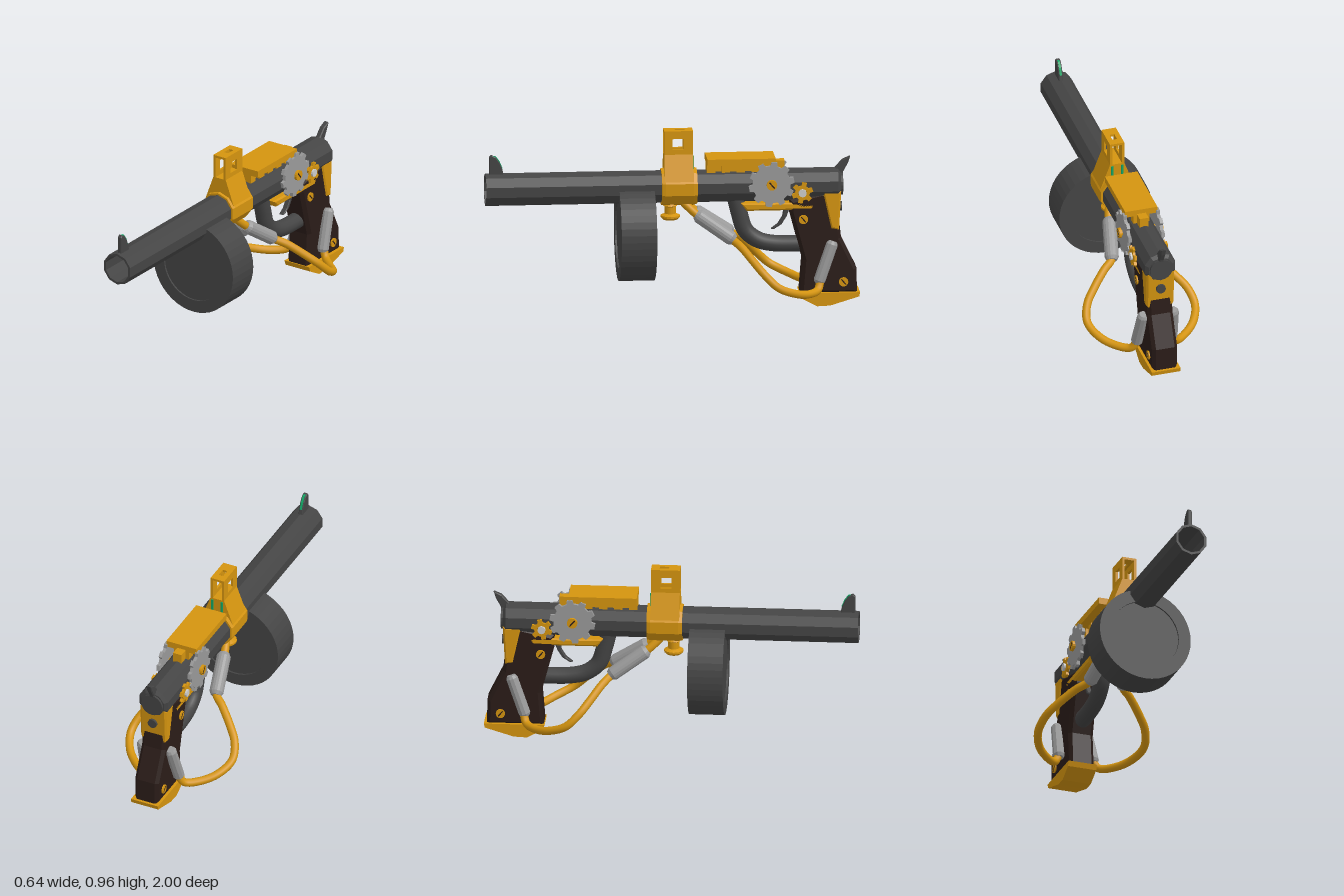
import * as THREE from 'three';

const mat = (color, flat = true) =>
  new THREE.MeshStandardMaterial({ color, flatShading: flat, side: THREE.DoubleSide });
const ORANGE = mat(0xd4940f), DARK = mat(0x444444), BROWN = mat(0x2a1c18), STEEL = mat(0x999999),
  PALE = mat(0xe6e6e6), GREEN = mat(0x12a565), CABLE = mat(0xd4940f, false), GUARD = mat(0x444444, false);

export function createModel() {
  const root = new THREE.Group();
  const add = (name, geo, m, x = 0, y = 0, z = 0) => {
    const mesh = new THREE.Mesh(geo, m);
    mesh.name = name;
    mesh.position.set(x, y, z);
    root.add(mesh);
    return mesh;
  };
  const box = (name, m, w, h, d, x, y, z) => add(name, new THREE.BoxGeometry(w, h, d), m, x, y, z);
  const v2 = (pts) => pts.map(([a, b]) => new THREE.Vector2(a, b));
  const v3 = (pts) => pts.map((p) => new THREE.Vector3(...p));
  const poly = (pts, hole) => {
    const s = new THREE.Shape(v2(pts));
    if (hole) s.holes.push(new THREE.Path(v2(hole)));
    return s;
  };
  // Side profile in (z, y), extruded symmetrically across x
  const sideGeo = (shape, w, b = 0) =>
    new THREE.ExtrudeGeometry(shape, {
      depth: w - 2 * b, bevelEnabled: b > 0, bevelSize: b, bevelThickness: b,
      bevelOffset: -b, bevelSegments: 1, curveSegments: 8,
    }).translate(0, 0, b - w / 2).rotateY(-Math.PI / 2);
  const side = (name, m, pts, w, b = 0, hole = null, x = 0) => add(name, sideGeo(poly(pts, hole), w, b), m, x);
  // Profile of (radius, z) turned around the z axis
  const turned = (name, m, pts, n, y) =>
    add(name, new THREE.LatheGeometry(v2(pts), n).rotateX(Math.PI / 2), m, 0, y, 0);
  const rect = (a, b, c, d) => [[a, c], [b, c], [b, d], [a, d]];
  const sides = (fn) => [1, -1].forEach(fn);

  // Ten-sided hollow barrel and rear plug
  turned('barrel', DARK, [[0, -0.9], [0.07, -0.9], [0.089, -0.885], [0.089, 1], [0.076, 1], [0.076, -0.87], [0, -0.87]], 10, 0.654);
  turned('rearPlug', DARK, [[0, -0.912], [0.062, -0.912], [0.062, -0.89]], 20, 0.654);

  // Drum magazine with recessed faces
  turned('drum', DARK, [[0, 0.11], [0.19, 0.11], [0.19, 0.1], [0.258, 0.1], [0.258, 0.29], [0.19, 0.29], [0.19, 0.28], [0, 0.28]], 44, 0.405);

  // Band around the barrel
  turned('sightBand', ORANGE, [[0.086, -0.13], [0.1, -0.13], [0.104, -0.11], [0.104, 0.04], [0.1, 0.06], [0.086, 0.06]], 10, 0.654);

  // Sight tower: flared base, two windowed walls and a slotted roof
  const base = poly([[-0.094, 0.69], [-0.04, 0.835], [0.04, 0.835], [0.094, 0.69], [0.055, 0.72], [-0.055, 0.72]]);
  add('sightBase', new THREE.ExtrudeGeometry(base, { depth: 0.155, bevelEnabled: false }), ORANGE, 0, 0, -0.11);
  sides((s) => {
    side('sightWall', ORANGE, rect(-0.11, 0.045, 0.825, 0.962), 0.013, 0, rect(-0.06, 0, 0.86, 0.92), s * 0.0335);
    box('sightInsert', GREEN, 0.012, 0.07, 0.006, s * 0.028, 0.79, -0.112);
  });
  const roof = new THREE.ExtrudeGeometry(poly(rect(-0.04, 0.04, -0.045, 0.11), rect(-0.013, 0.013, 0.015, 0.065)),
    { depth: 0.013, bevelEnabled: false }).rotateX(-Math.PI / 2);
  add('sightRoof', roof, ORANGE, 0, 0.95, 0);
  box('sightFoot', ORANGE, 0.06, 0.03, 0.12, 0, 0.722, -0.03);

  // Knob under the band
  add('bandKnob', new THREE.LatheGeometry(v2([[0, 0.475], [0.04, 0.475], [0.052, 0.487], [0.052, 0.497], [0.03, 0.507],
    [0.03, 0.545], [0.038, 0.55], [0.025, 0.565], [0.025, 0.62], [0, 0.62]]), 16), ORANGE, 0, 0, 0.01);

  // Front blade with a green rear edge, and the hammer
  side('frontBlade', DARK, [[0.98, 0.73], [0.98, 0.83], [0.968, 0.842], [0.945, 0.832], [0.925, 0.805], [0.91, 0.77], [0.9, 0.73]], 0.024, 0.004);
  side('frontBladeInsert', GREEN, [[0.96, 0.838], [0.944, 0.836], [0.923, 0.808], [0.907, 0.77], [0.925, 0.77]], 0.012);
  side('hammer', DARK, [[-0.84, 0.71], [-0.875, 0.745], [-0.91, 0.785], [-0.953, 0.803], [-0.94, 0.765], [-0.915, 0.72], [-0.9, 0.66], [-0.86, 0.66]], 0.03, 0.005);

  // Top cover on a toothed spine
  box('coverPlate', ORANGE, 0.18, 0.036, 0.365, 0, 0.797, -0.365);
  box('coverSpine', ORANGE, 0.05, 0.07, 0.41, 0, 0.755, -0.395);
  for (let i = 0; i < 5; i++) box('coverTooth', ORANGE, 0.09, 0.055, 0.045, 0, 0.76, -0.205 - i * 0.08);

  // Gear outline with square teeth
  const gear = (r, root_, n, hole) => {
    const pts = [];
    for (let i = 0; i < n; i++)
      [[0, root_], [0.4, root_], [0.5, r], [0.9, r]].forEach(([f, q]) => {
        const a = ((i + f) / n) * Math.PI * 2;
        pts.push([q * Math.cos(a), q * Math.sin(a)]);
      });
    const s = poly(pts);
    if (hole) s.holes.push(new THREE.Path().absarc(0, 0, hole, 0, Math.PI * 2, true));
    return s;
  };
  const disc = (name, m, r, len, x, y, z, n = 16) =>
    add(name, new THREE.CylinderGeometry(r, r, len, n).rotateZ(Math.PI / 2), m, x, y, z);
  // Slotted screw head facing sideways
  const screw = (s, x, y, z, r) => {
    disc('screw', ORANGE, r, 0.014, s * x, y, z);
    box('screwSlot', BROWN, 0.004, r * 1.5, r * 0.25, s * (x + 0.006), y, z).rotation.x = 0.7;
  };
  sides((s) => {
    add('largeGear', sideGeo(gear(0.123, 0.102, 10), 0.018), STEEL, s * 0.092, 0.675, -0.525);
    disc('gearAxle', ORANGE, 0.016, 0.05, s * 0.093, 0.675, -0.525);
    screw(s, 0.115, 0.675, -0.525, 0.028);
    add('smallGear', sideGeo(gear(0.058, 0.04, 6, 0.022), 0.016), ORANGE, s * 0.09, 0.625, -0.69);
    disc('smallGearPin', PALE, 0.021, 0.04, s * 0.088, 0.625, -0.69, 12);
    screw(s, 0.07, 0.475, -0.697, 0.025);
    screw(s, 0.07, 0.13, -0.912, 0.025);
  });

  // Lower frame, trigger and trigger guard
  side('lowerFrame', ORANGE, [[-0.365, 0.565], [-0.765, 0.565], [-0.75, 0.525], [-0.395, 0.525]], 0.14, 0.01);
  side('trigger', DARK, [[-0.6, 0.54], [-0.59, 0.48], [-0.565, 0.44], [-0.53, 0.413], [-0.545, 0.412], [-0.585, 0.437], [-0.612, 0.48], [-0.635, 0.54]], 0.03, 0.004);
  const path = (pts) => new THREE.CatmullRomCurve3(v3(pts));
  const tube = (name, pts, r, m, n = 12, seg = 24) => add(name, new THREE.TubeGeometry(path(pts), seg, r, n), m);
  tube('triggerGuard', [[0, 0.58, -0.34], [0, 0.5, -0.36], [0, 0.41, -0.39], [0, 0.355, -0.455], [0, 0.333, -0.54], [0, 0.328, -0.7]], 0.045, GUARD);

  // Grip, backstrap and butt cap
  side('grip', BROWN, [[-0.625, 0.58], [-0.625, 0.515], [-0.695, 0.25], [-0.68, 0.065], [-0.985, 0.065], [-0.983, 0.2], [-0.9, 0.37], [-0.875, 0.6], [-0.8, 0.62]], 0.14, 0.018);
  side('backstrap', ORANGE, [[-0.8, 0.625], [-0.9, 0.625], [-0.888, 0.415], [-0.845, 0.42]], 0.155, 0.01);
  const backScrew = new THREE.CylinderGeometry(0.026, 0.026, 0.02, 16).rotateX(Math.PI / 2);
  add('backScrew', backScrew, DARK, 0, 0.53, -0.898);
  side('buttCap', ORANGE, [[-0.675, 0.073], [-1, 0.073], [-0.995, 0.05], [-0.84, 0.003], [-0.77, 0], [-0.685, 0.045]], 0.16);

  // Looping cables with sleeves at both ends, one on each side
  const rod = (name, a, b, r, n) => {
    const [p, q] = v3([a, b]);
    const d = q.clone().sub(p), len = d.length();
    const prof = [[0, 0], [r * 0.7, 0], [r, r * 0.5], [r, len - r * 0.5], [r * 0.7, len], [0, len]];
    add(name, new THREE.LatheGeometry(v2(prof), n), STEEL, ...a)
      .quaternion.setFromUnitVectors(new THREE.Vector3(0, 1, 0), d.normalize());
  };
  sides((s) => {
    const m = (pts) => pts.map(([x, y, z]) => [s * x, y, z]);
    tube('cable', m([[0.03, 0.57, -0.06], [0.05, 0.515, -0.12], [0.09, 0.38, -0.31], [0.15, 0.345, -0.36], [0.225, 0.28, -0.42],
      [0.28, 0.22, -0.475], [0.3, 0.155, -0.545], [0.26, 0.112, -0.64], [0.19, 0.092, -0.715], [0.125, 0.1, -0.77], [0.1, 0.145, -0.785], [0.096, 0.2, -0.8]]),
      0.022, CABLE, 12, 72);
    rod('cableSleeve', ...m([[0.05, 0.51, -0.125], [0.095, 0.373, -0.325]]), 0.038, 16);
    rod('gripSleeve', ...m([[0.098, 0.13, -0.775], [0.082, 0.355, -0.855]]), 0.032, 10);
  });

  return root;
}
